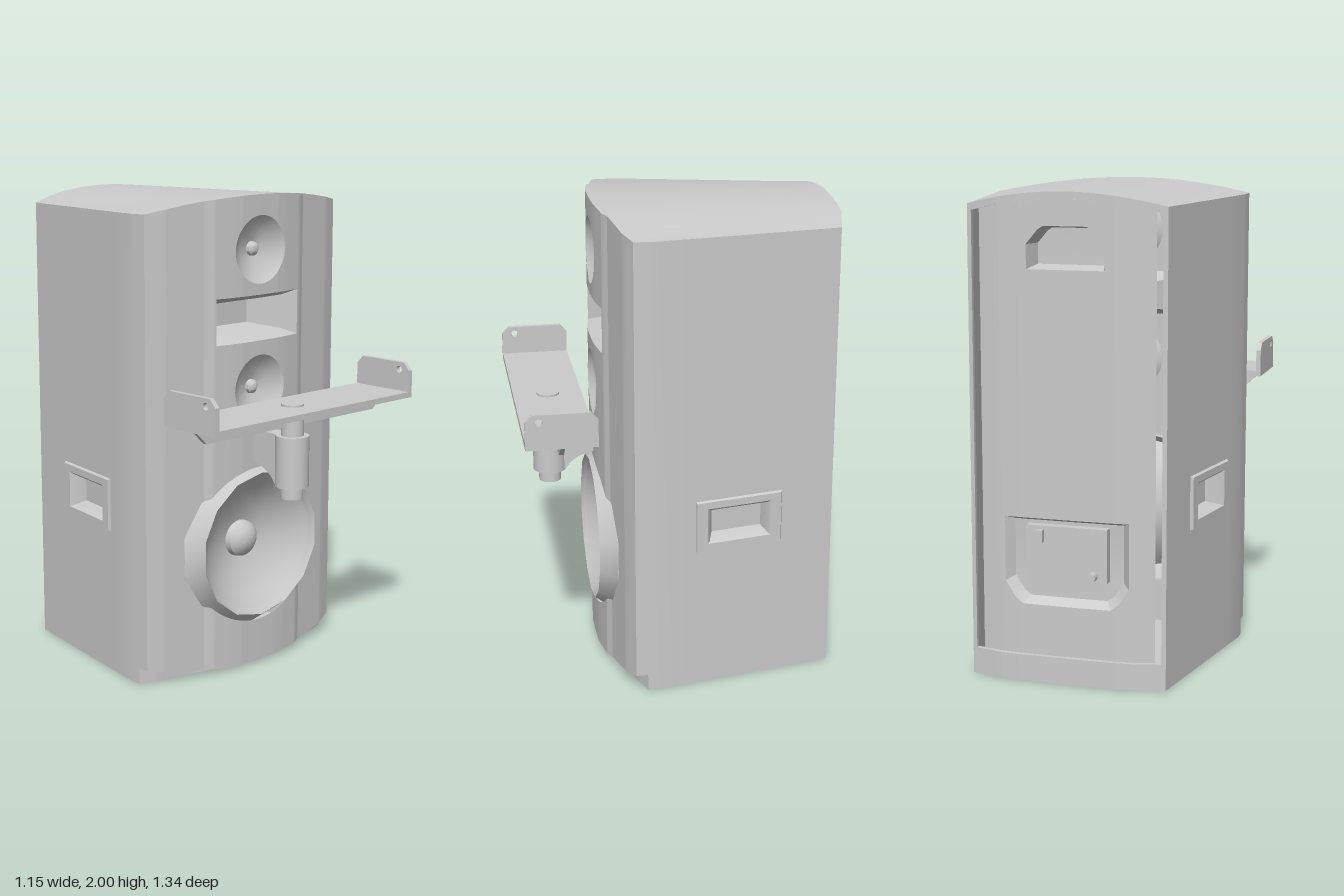
import * as THREE from 'three';
import { toCreasedNormals } from 'three/addons/utils/BufferGeometryUtils.js';

const material = new THREE.MeshStandardMaterial({ color: 0xcccccc });
const openMaterial = new THREE.MeshStandardMaterial({ color: 0xcccccc, side: THREE.DoubleSide });
const V = (x, y, z) => new THREE.Vector3(x, y, z);

// Piecewise linear lookup of symmetric plan curves
function lookup(table, x) {
  x = Math.abs(x);
  for (let i = 1; i < table.length; i++) {
    const [a, p] = table[i - 1], [b, q] = table[i];
    if (x <= b) return p + (q - p) * (x - a) / (b - a);
  }
  return table[table.length - 1][1];
}
const FRONT = [[0, 0.34], [0.1, 0.338], [0.15, 0.333], [0.25, 0.318], [0.285, 0.3], [0.46, 0.268], [0.545, 0.235]];
const BACK = [[0, -0.66], [0.2, -0.658], [0.28, -0.652], [0.41, -0.62], [0.545, 0.14]];
const frontZ = x => lookup(FRONT, x);
const backZ = x => lookup(BACK, x);
const halfWidth = z => 0.41 + 0.135 * THREE.MathUtils.clamp((z + 0.62) / 0.76, 0, 1);
const topY = (x, z) => 2 - 0.055 * Math.min(1, (x / halfWidth(z)) ** 2) - 0.015 * (0.34 - z);
const baffleBottom = x => 0.01 + 0.06 * (x / 0.545) ** 2;

function mesh(parent, name, geometry, mat = material) {
  const m = new THREE.Mesh(geometry, mat);
  m.name = name;
  parent.add(m);
  return m;
}

function fromTriangles(points) {
  return toCreasedNormals(new THREE.BufferGeometry().setFromPoints(points), 0.45);
}

// Holes are spans [lo(u), hi(u)] for u between a and b
const rectHole = (a, b, lo, hi) => ({ a, b, lo: () => lo, hi: () => hi });
function ovalHole(cy, rx, ry) {
  const h = u => ry * Math.sqrt(Math.max(0, 1 - (u / rx) ** 2));
  return { a: -rx, b: rx, lo: u => cy - h(u), hi: u => cy + h(u) };
}
function stops(hole, n = 24) {
  return Array.from({ length: n + 1 }, (_, i) =>
    (hole.a + hole.b) / 2 - (hole.b - hole.a) / 2 * Math.cos(Math.PI * i / n));
}

// Curved sheet made of columns that skip the holes
function skin(us, lo, hi, point, holes = []) {
  const all = [...us, ...holes.flatMap(h => stops(h))].sort((p, q) => p - q);
  const cols = all.filter((u, i) => i === 0 || u - all[i - 1] > 1e-5);
  const tris = [];
  for (let i = 1; i < cols.length; i++) {
    const p = cols[i - 1], q = cols[i], mid = (p + q) / 2;
    const edges = [lo];
    holes.filter(h => mid > h.a && mid < h.b).sort((g, h) => g.lo(mid) - h.lo(mid))
      .forEach(h => edges.push(h.lo, h.hi));
    edges.push(hi);
    for (let k = 0; k < edges.length; k += 2) {
      const a = point(p, edges[k](p)), b = point(q, edges[k](q));
      const c = point(q, edges[k + 1](q)), d = point(p, edges[k + 1](p));
      tris.push(a, b, c, a, c, d);
    }
  }
  return fromTriangles(tris);
}

// Joins closed loops of points, optionally capping the last one
function loft(loops, cap = false) {
  const tris = [], n = loops[0].length;
  for (let k = 1; k < loops.length; k++) for (let i = 0; i < n; i++) {
    const j = (i + 1) % n, A = loops[k - 1], B = loops[k];
    tris.push(A[i], A[j], B[j], A[i], B[j], B[i]);
  }
  if (cap) {
    const last = loops[loops.length - 1];
    const c = last.reduce((s, p) => s.add(p), V(0, 0, 0)).divideScalar(n);
    last.forEach((p, i) => tris.push(c, p, last[(i + 1) % n]));
  }
  return fromTriangles(tris);
}

// Outline of a hole as [u, v] pairs
function outline(hole) {
  const us = stops(hole, 16);
  return [...us.map(u => [u, hole.lo(u)]), ...us.reverse().map(u => [u, hole.hi(u)])];
}

// Lathe turned to face forward; profile is [radius, z]
function driver(parent, name, y, profile, segments) {
  const g = new THREE.LatheGeometry(profile.map(([r, z]) => new THREE.Vector2(r, z)), segments);
  g.rotateX(Math.PI / 2);
  const m = mesh(parent, name, toCreasedNormals(g, 0.5), openMaterial);
  m.position.y = y;
  return m;
}

function box(parent, name, w, h, d, x, y, z) {
  mesh(parent, name, new THREE.BoxGeometry(w, h, d)).position.set(x, y, z);
}
function post(parent, name, r, y0, y1, z) {
  mesh(parent, name, new THREE.CylinderGeometry(r, r, y1 - y0, 32)).position.set(0, (y0 + y1) / 2, z);
}
function plate(points, depth) {
  return [new THREE.Shape(points.map(p => new THREE.Vector2(...p))), { depth, bevelEnabled: false }];
}

function buildCabinet(g) {
  const half = Array.from({ length: 13 }, (_, i) => i * 0.545 / 12).concat(FRONT.map(p => p[0]), BACK.map(p => p[0]));
  const xs = half.flatMap(x => [x, -x]);
  const backXs = xs.filter(x => Math.abs(x) <= 0.41);

  // Lid, floor and plinth
  mesh(g, 'lid', skin(xs, backZ, frontZ, (x, z) => V(x, topY(x, z), z)), openMaterial);
  mesh(g, 'floor', skin(xs, backZ, x => frontZ(x) - 0.05, (x, z) => V(x, 0, z)), openMaterial);
  mesh(g, 'plinthFront', skin(xs, () => 0, () => 0.1, (x, y) => V(x, y, frontZ(x) - 0.05)), openMaterial);

  // Front baffle with openings for the drivers and the horn
  const hornHole = rectHole(-0.235, 0.235, 1.4, 1.59);
  const front = (x, y) => V(x, y, frontZ(x));
  mesh(g, 'baffle', skin(xs, baffleBottom, x => topY(x, frontZ(x)), front,
    [ovalHole(0.53, 0.36, 0.335), ovalHole(1.2, 0.14, 0.14), hornHole, ovalHole(1.775, 0.14, 0.14)]), openMaterial);
  mesh(g, 'baffleUnderside', skin(xs, x => frontZ(x) - 0.05, frontZ,
    (x, z) => V(x, baffleBottom(x), z)), openMaterial);
  const horn = outline(hornHole);
  mesh(g, 'horn', loft([horn.map(p => front(...p)),
    ...[[0.8, 0.75, 0.27], [0.55, 0.6, 0.21], [0.4, 0.5, 0.16]].map(([sx, sy, z]) =>
      horn.map(([x, y]) => V(x * sx, 1.495 + (y - 1.495) * sy, z)))], true), openMaterial);

  // Side walls, each with a framed grip
  const grip = rectHole(-0.345, -0.07, 0.645, 0.8);
  for (const s of [1, -1]) {
    const side = (z, y, off = 0) => V(s * (halfWidth(z) + off), y, z);
    mesh(g, 'sideWall', skin([-0.62, -0.4, -0.2, 0, 0.14, 0.185, 0.1855, 0.235],
      z => (z > 0.1852 ? 0.07 : 0), z => topY(halfWidth(z), z), side, [grip]), openMaterial);
    const ring = (z0, z1, y0, y1, off) =>
      [[z0, y0], [z1, y0], [z1, y1], [z0, y1]].map(([z, y]) => side(z, y, off));
    mesh(g, 'sideGrip', loft([
      ring(-0.395, -0.02, 0.61, 0.835, 0), ring(-0.39, -0.025, 0.615, 0.83, 0.012),
      ring(-0.345, -0.07, 0.645, 0.8, 0.012), ring(-0.335, -0.08, 0.65, 0.79, 0),
      ring(-0.315, -0.1, 0.665, 0.785, -0.06)], true), openMaterial);
  }

  // Back rim around a recessed panel with two pockets
  const recess = { a: -0.392, b: 0.392, lo: () => 0.11, hi: x => topY(x, backZ(x)) - 0.03 };
  const back = depth => (x, y) => V(x, y, backZ(x) + depth);
  const corner = (x, start, slope) => Math.max(0, Math.abs(x) - start) * slope;
  const handle = { a: -0.16, b: 0.16, lo: () => 1.68, hi: x => 1.85 - corner(x, 0.1, 1.2) };
  const terminal = { a: -0.26, b: 0.26, lo: x => 0.32 + corner(x, 0.2, 1.5), hi: () => 0.68 };
  mesh(g, 'backRim', skin(backXs, () => 0, x => topY(x, backZ(x)), back(0), [recess]), openMaterial);
  const edge = outline(recess);
  mesh(g, 'backRimStep', loft([0, 0.02].map(d => edge.map(p => back(d)(...p)))), openMaterial);
  mesh(g, 'backPanel', skin(backXs.filter(x => Math.abs(x) < 0.392), recess.lo, recess.hi,
    back(0.02), [handle, terminal]), openMaterial);
  for (const [name, hole, cy, depth, shrink] of
    [['backHandlePocket', handle, 1.78, 0.1, 0.85], ['terminalPocket', terminal, 0.55, 0.06, 0.88]]) {
    const loop = outline(hole);
    mesh(g, name, loft([loop.map(p => back(0.02)(...p)),
      loop.map(([x, y]) => back(depth)(x * shrink, cy + (y - cy) * shrink))], true), openMaterial);
  }

  // Terminal plate, knob and switch
  const [shape, opts] = plate([[-0.13, 0.39], [0.13, 0.39], [0.17, 0.43], [0.17, 0.65], [-0.17, 0.65], [-0.17, 0.43]], 0.055);
  mesh(g, 'terminalPlate', new THREE.ExtrudeGeometry(shape, opts)).position.z = -0.635;
  const knob = mesh(g, 'knob', new THREE.CylinderGeometry(0.02, 0.02, 0.04, 16));
  knob.rotation.x = Math.PI / 2;
  knob.position.set(-0.11, 0.455, -0.652);
  box(g, 'switch', 0.03, 0.05, 0.03, 0.11, 0.61, -0.645);
}

function buildBracket(g) {
  const z = 0.525;
  // Arm with a curved underside
  const arm = new THREE.Shape();
  arm.moveTo(-0.3, 1.03);
  arm.lineTo(-0.5, 1.03);
  arm.lineTo(-0.5, 0.82);
  arm.lineTo(-0.46, 0.82);
  arm.quadraticCurveTo(-0.42, 0.89, -0.3, 0.9);
  const armMesh = mesh(g, 'bracketArm', new THREE.ExtrudeGeometry(arm, { depth: 0.074, bevelEnabled: false }));
  armMesh.rotation.y = Math.PI / 2;
  armMesh.position.x = -0.037;

  post(g, 'collar', 0.07, 0.815, 1.03, z);
  post(g, 'pole', 0.047, 0.765, 1.162, z);

  // Tray with a gusset beneath and a drilled ear at each end
  box(g, 'tray', 1.15, 0.024, 0.29, 0, 1.142, 0.527);
  const [gusset, gOpts] = plate([[-0.49, 1.07], [0.49, 1.07], [0.555, 1.132], [-0.555, 1.132]], 0.02);
  mesh(g, 'gusset', new THREE.ExtrudeGeometry(gusset, gOpts)).position.z = 0.512;
  for (const s of [1, -1]) {
    const [ear, eOpts] = plate([[-0.382, 1.13], [-0.382, 1.245], [-0.412, 1.277], [-0.642, 1.277],
      [-0.672, 1.245], [-0.672, 1.13]], 0.02);
    ear.holes.push(new THREE.Path().absarc(-0.617, 1.245, 0.015, 0, Math.PI * 2));
    const m = mesh(g, 'trayEar', new THREE.ExtrudeGeometry(ear, eOpts));
    m.rotation.y = Math.PI / 2;
    m.position.x = s * 0.567 - 0.01;
  }
}

export function createModel() {
  const model = new THREE.Group();
  model.name = 'loudspeaker';
  const cabinet = new THREE.Group(), drivers = new THREE.Group(), bracket = new THREE.Group();
  cabinet.name = 'cabinet';
  drivers.name = 'drivers';
  bracket.name = 'bracket';
  model.add(cabinet, drivers, bracket);
  buildCabinet(cabinet);
  buildBracket(bracket);

  // Woofer with a faceted surround, and two small drivers
  const surround = driver(drivers, 'wooferSurround', 0.53,
    [[0.39, 0.24], [0.39, 0.285], [0.335, 0.355], [0.31, 0.335]], 14);
  const cone = driver(drivers, 'wooferCone', 0.53,
    [[0.318, 0.338], [0.25, 0.285], [0.16, 0.24], [0.085, 0.22], [0.08, 0.245], [0.055, 0.267], [0.025, 0.278], [0, 0.28]], 28);
  surround.scale.y = cone.scale.y = 0.93;
  for (const y of [1.2, 1.775]) {
    driver(drivers, 'smallDriver', y,
      [[0.143, 0.336], [0.125, 0.32], [0.08, 0.295], [0.03, 0.28], [0.028, 0.295], [0.016, 0.306], [0, 0.31]], 28);
  }
  return model;
}
